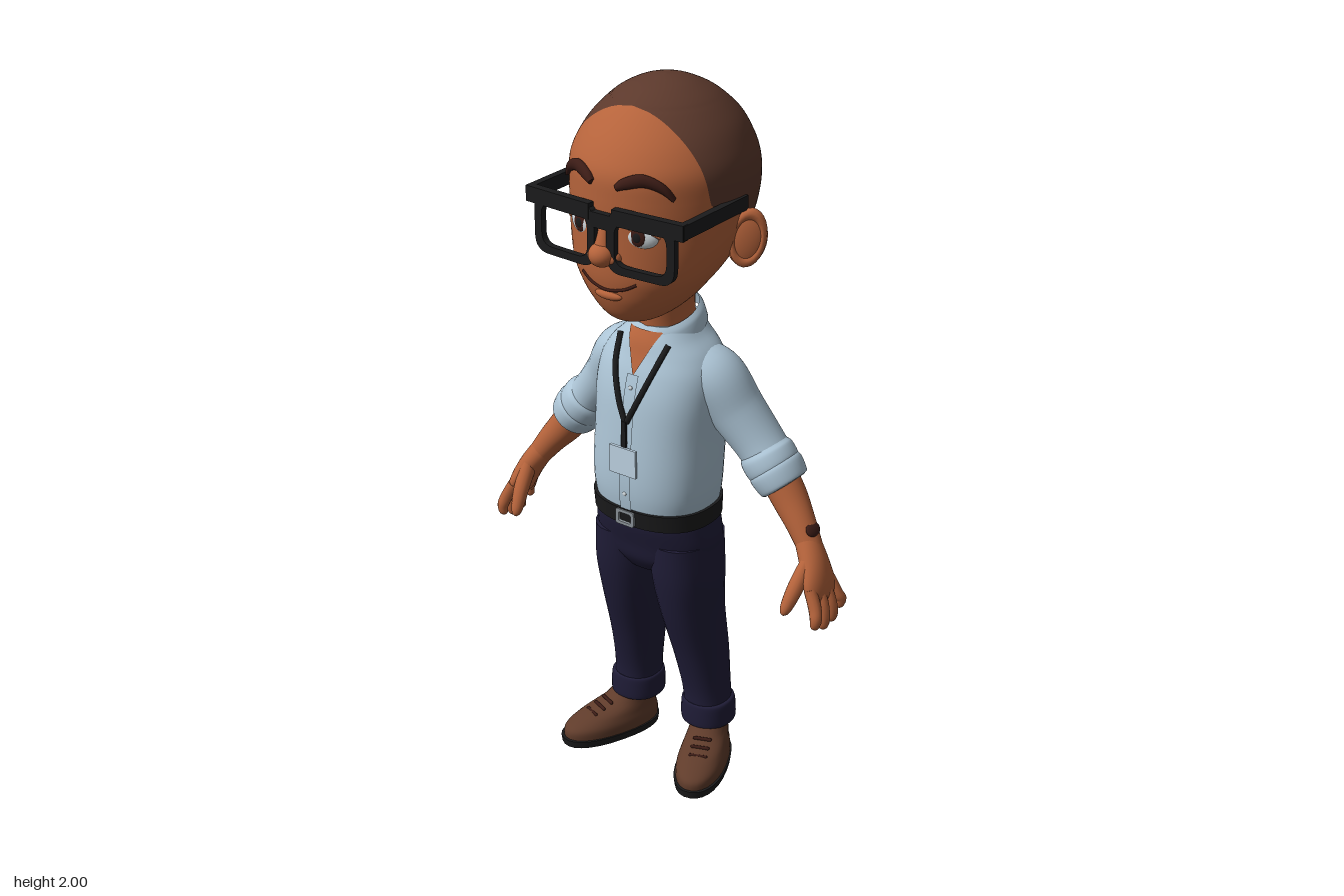
import * as THREE from 'three';

const mat = (name, color, side = THREE.FrontSide) =>
  Object.assign(new THREE.MeshStandardMaterial({ color, side }), { name });

// Grid surface: f(u, v) gives a point; u to the right and v up when seen from outside.
function grid(nu, nv, f, wrap = false) {
  const pos = [], idx = [], w = wrap ? nu : nu + 1;
  for (let j = 0; j <= nv; j++) for (let i = 0; i < w; i++) pos.push(...f(i / nu, j));
  for (let j = 0; j < nv; j++) for (let i = 0; i < nu; i++) {
    const a = j * w + i, b = j * w + (i + 1) % w;
    idx.push(a, b, b + w, a, b + w, a + w);
  }
  const g = new THREE.BufferGeometry();
  g.setAttribute('position', new THREE.Float32BufferAttribute(pos, 3));
  g.setIndex(idx);
  g.computeVertexNormals();
  return g;
}

// Smooth interpolation between cross-sections [x, y, z, halfWidth, halfDepth]
function sectionAt(s, t) {
  const i = Math.min(Math.floor(t), s.length - 2), f = t - i;
  const p = k => s[Math.max(0, Math.min(s.length - 1, k))];
  return s[0].map((_, c) => {
    const [a, b, d, e] = [p(i - 1)[c], p(i)[c], p(i + 1)[c], p(i + 2)[c]];
    const v = b + 0.5 * f * (d - a + f * (2 * a - 5 * b + 4 * d - e + f * (3 * (b - d) + e - a)));
    return c > 2 ? Math.max(v, 0.0005) : v;
  });
}

const power = (v, e) => Math.sign(v) * Math.abs(v) ** e;

// Skin over cross-sections; level keeps the rings horizontal, range limits the angle.
function loft(s, { n = 28, sub = 6, e = 1, level = false, range = null } = {}) {
  const rings = [], count = (s.length - 1) * sub;
  for (let k = 0; k <= count; k++) {
    const t = k / sub, c = sectionAt(s, t);
    const p = sectionAt(s, Math.max(0, t - 0.05)), q = sectionAt(s, Math.min(s.length - 1, t + 0.05));
    const T = level ? new THREE.Vector3(0, 1, 0)
      : new THREE.Vector3(q[0] - p[0], q[1] - p[1], q[2] - p[2]).normalize();
    const U = new THREE.Vector3().crossVectors(T, new THREE.Vector3(0, 0, 1)).normalize();
    rings.push({ c, U, V: new THREE.Vector3().crossVectors(U, T), r: 1 });
  }
  const first = rings[0], last = rings[count];
  const rows = [{ ...first, r: 0 }, first, ...rings, last, { ...last, r: 0 }];
  return grid(n, rows.length - 1, (u, j) => {
    const { c, U, V, r } = rows[j], [a0, a1] = range ? range(c) : [0, Math.PI * 2];
    const a = a0 + (a1 - a0) * u;
    const su = r * c[3] * power(Math.sin(a), e), sv = r * c[4] * power(Math.cos(a), e);
    return [c[0] + U.x * su + V.x * sv, c[1] + U.y * su + V.y * sv, c[2] + U.z * su + V.z * sv];
  }, !range);
}

// Rows of [y, halfWidth, frontZ, backZ] to centred sections
const body = rows => rows.map(([y, w, f, b]) => [0, y, (f + b) / 2, w, (f - b) / 2]);

// Depth of a body's surface at x, y (side -1 for the back)
function depth(s, x, y, e, side = 1) {
  let lo = 0, hi = s.length - 1;
  for (let k = 0; k < 30; k++) {
    const m = (lo + hi) / 2;
    if (sectionAt(s, m)[1] < y) lo = m; else hi = m;
  }
  const c = sectionAt(s, lo);
  return c[2] + side * c[4] * Math.max(0, 1 - Math.abs(x / c[3]) ** (2 / e)) ** (e / 2);
}

const HEAD = body([[1.388, .01, .13, .09], [1.396, .06, .17, .03], [1.42, .1, .198, -.03], [1.46, .143, .218, -.07],
  [1.5, .175, .229, -.1], [1.54, .2, .235, -.145], [1.6, .223, .236, -.215], [1.67, .235, .236, -.26],
  [1.74, .239, .237, -.278], [1.8, .235, .233, -.27], [1.85, .217, .208, -.25], [1.9, .186, .168, -.22],
  [1.95, .135, .115, -.165], [1.98, .085, .065, -.11], [1.995, .04, .015, -.065], [2, .002, -.02, -.025]]);
const TORSO = body([[.82, .165, .15, -.13], [.88, .175, .158, -.135], [.95, .178, .158, -.14], [1.05, .178, .15, -.15],
  [1.15, .182, .138, -.16], [1.22, .175, .12, -.155], [1.27, .15, .1, -.145], [1.31, .11, .085, -.135], [1.345, .082, .062, -.12]]);
const HIPS = body([[.63, .09, .09, -.08], [.67, .16, .115, -.105], [.72, .183, .127, -.12], [.78, .175, .143, -.126], [.82, .165, .145, -.126]]);
const HAIRLINE = [[1.51, -.13], [1.6, -.08], [1.67, -.045], [1.7, .05], [1.73, .087], [1.8, .1], [1.9, .112], [1.95, .116]];

// Angle from the front at which the hair begins on a head ring
function hairAngle(c) {
  let z = c[1] < 1.51 ? -1 : .116;
  for (let i = 0; i < HAIRLINE.length - 1; i++) {
    const [y0, z0] = HAIRLINE[i], [y1, z1] = HAIRLINE[i + 1];
    if (c[1] >= y0 && c[1] < y1) z = z0 + (z1 - z0) * (c[1] - y0) / (y1 - y0);
  }
  return Math.acos(Math.max(-1, Math.min(1, (z - c[2]) / c[4])));
}

export function createModel() {
  const model = new THREE.Group();
  model.name = 'man';
  const skin = mat('skin', 0xb5633b, THREE.DoubleSide), hair = mat('hair', 0x5c392c), dark = mat('browBrown', 0x3c1c16);
  const shirt = mat('shirtBlue', 0xadc5d6, THREE.DoubleSide), navy = mat('trouserNavy', 0x201d38, THREE.DoubleSide);
  const leather = mat('shoeBrown', 0x603c2b), black = mat('black', 0x1b1b1c), white = mat('eyeWhite', 0xd3dbe0);
  const pale = mat('badgeBlue', 0xbfd4e4), metal = mat('metal', 0x8b9298);

  const add = (name, geo, m, parent = model) => {
    const o = new THREE.Mesh(geo, m);
    o.name = name;
    parent.add(o);
    return o;
  };
  const ball = (name, m, p, s, ry = 0, rz = 0) => {
    const o = add(name, new THREE.SphereGeometry(1, 28, 20), m);
    o.position.set(...p); o.scale.set(...s); o.rotation.set(0, ry, rz);
    return o;
  };
  const box = (name, m, p, s, parent) => {
    const o = add(name, new THREE.BoxGeometry(...s), m, parent);
    o.position.set(...p);
    return o;
  };
  const tube = (name, m, pts, r) => add(name, new THREE.TubeGeometry(
    new THREE.CatmullRomCurve3(pts.map(p => new THREE.Vector3(...p))), 28, r, 8), m);
  // Thin piece lying on a body's surface
  const patch = (name, m, s, e, x, y0, y1, width, off, side = 1) => add(name, grid(8, 12, (u, j) => {
    const y = y0 + (y1 - y0) * j / 12, px = x + side * (u - .5) * 2 * width(j / 12);
    return [px, y, depth(s, px, y, e, side) + side * off];
  }), m);

  // Head, hair and neck
  add('face', loft(HEAD, { n: 64, level: true, range: c => [-hairAngle(c), hairAngle(c)] }), skin);
  add('hair', loft(HEAD, { n: 64, level: true, range: c => [hairAngle(c), 2 * Math.PI - hairAngle(c)] }), hair);
  add('neck', loft(body([[1.2, .075, .06, -.11], [1.32, .073, .062, -.112], [1.4, .075, .07, -.105], [1.48, .09, .08, -.095]]), { level: true }), skin);

  // Nose and mouth
  add('noseBridge', loft([[0, 1.6, .24, .03, .033], [0, 1.65, .232, .02, .022], [0, 1.71, .224, .016, .012]], { level: true }), skin);
  ball('noseTip', skin, [0, 1.6, .246], [.036, .032, .036]);
  const mouth = [-.085, -.05, 0, .05, .085].map(x => {
    const y = 1.5 + .028 * (x / .085) ** 2;
    return [x, y, depth(HEAD, x, y, 1) + .001];
  });
  tube('mouth', dark, mouth, .004);
  ball('lowerLip', skin, [0, 1.484, .222], [.042, .013, .014]);

  // Glasses front
  const rounded = (P, x0, y0, x1, y1, r) => {
    const p = new P();
    p.moveTo(x0 + r, y0); p.lineTo(x1 - r, y0); p.quadraticCurveTo(x1, y0, x1, y0 + r);
    p.lineTo(x1, y1 - r); p.quadraticCurveTo(x1, y1, x1 - r, y1); p.lineTo(x0 + r, y1);
    p.quadraticCurveTo(x0, y1, x0, y1 - r); p.lineTo(x0, y0 + r); p.quadraticCurveTo(x0, y0, x0 + r, y0);
    return p;
  };
  box('glassesBridge', black, [0, 1.69, .244], [.06, .04, .02]);

  for (const s of [1, -1]) {
    const side = s > 0 ? 'left' : 'right';
    const rim = rounded(THREE.Shape, -.1, 1.56, .1, 1.725, .045);
    rim.holes.push(rounded(THREE.Path, -.077, 1.581, .077, 1.695, .035));
    const rimMesh = add(side + 'GlassesRim', new THREE.ExtrudeGeometry(rim, { depth: .018, bevelEnabled: false, curveSegments: 8 }), black);
    rimMesh.position.set(s * .118, 0, .23);
    rimMesh.rotation.y = s * .06;
    box(side + 'GlassesTop', black, [s * .14, 1.708, .238], [.21, .042, .022]).rotation.y = s * .06;
    box(side + 'GlassesArm', black, [s * .237, 1.709, .103], [.02, .038, .272]);

    ball(side + 'Nostril', skin, [s * .028, 1.594, .236], [.021, .019, .022]);
    ball(side + 'Eye', white, [s * .093, 1.655, .203], [.044, .033, .019], s * .35);
    ball(side + 'Iris', dark, [s * .09, 1.657, .219], [.021, .024, .006], s * .2);
    ball(side + 'Pupil', black, [s * .09, 1.657, .222], [.012, .014, .005], s * .2);
    tube(side + 'Eyelid', skin, [[s * .047, 1.665, .217], [s * .09, 1.69, .221], [s * .14, 1.66, .19]], .008);
    add(side + 'Eyebrow', loft([[.038, 1.78, .009], [.06, 1.793, .015], [.1, 1.803, .017], [.14, 1.787, .013], [.165, 1.757, .004]]
      .map(([x, y, r]) => [s * x, y, depth(HEAD, x, y, 1) + .002, r, .011]), { n: 14 }), dark);
    ball(side + 'Ear', skin, [s * .243, 1.612, -.035], [.052, .077, .02], s * .6, -s * .15);
    const earRim = add(side + 'EarRim', new THREE.TorusGeometry(.043, .011, 10, 28), skin);
    earRim.position.set(s * .248, 1.615, -.032);
    earRim.scale.set(.9, 1.5, 1.3);
    earRim.rotation.set(0, s * .6, -s * .15);

    // Sleeve with rolled cuff
    const arm = (name, pts, m, o) => add(side + name, loft(pts.map(([x, ...r]) => [s * x, ...r]), o), m);
    arm('Sleeve', [[.09, 1.245, -.03, .05, .08], [.15, 1.2, -.04, .074, .088], [.205, 1.115, -.058, .073, .08],
      [.27, 1.035, -.07, .066, .072], [.33, .965, -.07, .064, .068]], shirt);
    arm('CuffUpper', [[.283, 1.022, -.07, .062, .066], [.295, 1.005, -.07, .073, .077], [.318, .977, -.07, .073, .077], [.33, .963, -.07, .062, .066]], shirt);
    arm('CuffLower', [[.312, .986, -.07, .062, .066], [.325, .97, -.07, .074, .079], [.352, .937, -.07, .068, .074], [.357, .931, -.07, .058, .062]], shirt);

    // Forearm and hand
    arm('Forearm', [[.33, .96, -.07, .052, .052], [.375, .9, -.065, .049, .049], [.42, .845, -.052, .041, .041], [.46, .79, -.04, .034, .035]], skin);
    arm('Palm', [[.445, .812, -.044, .034, .034], [.478, .76, -.03, .034, .046], [.502, .71, -.02, .029, .06], [.515, .67, -.018, .02, .056], [.518, .655, -.018, .008, .045]], skin);
    [.602, .585, .59, .613].forEach((tip, k) => {
      const z = .026 - .03 * k, zt = .042 - .04 * k;
      arm('Finger' + (k + 1), [[.505, .705, z, .017, .017], [.527, .66, (z + zt) / 2, .018, .017], [.536, tip + .03, zt, .016, .016],
        [.533, tip + .008, zt, .012, .012], [.532, tip, zt, .003, .003]], skin, { n: 12, sub: 4 });
    });
    arm('Thumb', [[.474, .765, -.01, .02, .024], [.468, .71, .035, .022, .022], [.461, .665, .064, .018, .018], [.458, .645, .076, .012, .012], [.457, .637, .08, .003, .003]], skin, { n: 14 });

    // Trouser leg with turn-up and back pocket
    const leg = (name, pts) => add(side + name, loft(pts.map(([x, ...r]) => [s * x, ...r]), { level: true, e: .9 }), navy);
    leg('TrouserLeg', [[.125, .13, -.06, .067, .07], [.12, .22, -.057, .064, .07], [.11, .35, -.042, .07, .085],
      [.1, .5, -.012, .08, .1], [.096, .62, .002, .09, .112], [.092, .73, .005, .088, .118]]);
    leg('TurnUp', [[.125, .118, -.06, .068, .07], [.125, .125, -.06, .075, .076], [.124, .18, -.059, .073, .075], [.123, .19, -.058, .064, .07]]);
    patch(side + 'BackPocket', navy, HIPS, .85, s * .088, .69, .775, t => .036 + .008 * t, .006, -1);

    // Shoe, toe turned out
    const shoe = new THREE.Group();
    shoe.name = side + 'Shoe';
    shoe.position.set(s * .135, 0, -.053);
    shoe.rotation.y = s * .38;
    model.add(shoe);
    add('sole', loft([[0, 0, .082, .07, .155], [0, .022, .082, .073, .158]], { level: true, e: .88 }), black, shoe);
    add('shoeUpper', loft([[0, .02, .08, .069, .152], [0, .048, .077, .068, .149], [0, .073, .055, .061, .12], [0, .1, .015, .054, .077],
      [0, .135, -.005, .052, .058]], { level: true, e: .92 }), leather, shoe);
    for (let k = 0; k < 3; k++) {
      const lace = add('lace', new THREE.CapsuleGeometry(.005, .045, 4, 8), dark, shoe);
      lace.position.set(0, .103 - .012 * k, .092 + .026 * k);
      lace.rotation.z = Math.PI / 2;
    }

    // Lanyard strap
    tube(side + 'LanyardStrap', black, [[.078, 1.31], [.06, 1.24], [.03, 1.16], [.003, 1.1]]
      .map(([x, y]) => [s * x, y, depth(TORSO, x, y, .85) + .012]), .008);
  }

  // Shirt, open neck, collar, placket and buttons
  add('shirtBody', loft(TORSO, { n: 48, level: true, e: .85 }), shirt);
  patch('openNeck', skin, TORSO, .85, 0, 1.225, 1.335, t => .002 + .05 * t, .004);
  patch('placket', shirt, TORSO, .85, 0, .835, 1.225, () => .018, .005);
  for (let y = .89; y < 1.2; y += .075) ball('button', white, [0, y, depth(TORSO, 0, y, .85) + .005], [.006, .006, .003]);
  add('collar', grid(48, 6, (u, j) => {
    const a = .42 + u * (2 * Math.PI - .84), b = (1 - Math.cos(a)) / 2, d = 1 - j / 6;
    const y = 1.34 + .05 * b - d * (.05 + .035 * (1 - b) ** 4), r = .024 * Math.sqrt(d);
    return [(.08 + r) * Math.sin(a), y, -.025 + (.095 + r) * Math.cos(a)];
  }), shirt);

  // Badge
  box('badgeClip', black, [0, 1.067, .163], [.014, .075, .008]);
  box('badge', pale, [0, .99, .168], [.086, .08, .008]);

  // Hips, belt and buckle
  add('trouserHips', loft(HIPS, { n: 40, level: true, e: .85 }), navy);
  add('belt', loft(body([[.792, .176, .155, -.135], [.842, .177, .162, -.138]]), { n: 48, level: true, e: .85 }), black);
  const buckle = rounded(THREE.Shape, -.03, .795, .03, .84, .008);
  buckle.holes.push(rounded(THREE.Path, -.02, .804, .02, .831, .005));
  add('buckle', new THREE.ExtrudeGeometry(buckle, { depth: .008, bevelEnabled: false }), metal).position.z = .157;

  // Dark mark on the left wrist
  ball('wristMark', dark, [.463, .842, -.045], [.008, .02, .028], 0, .64);

  return model;
}
